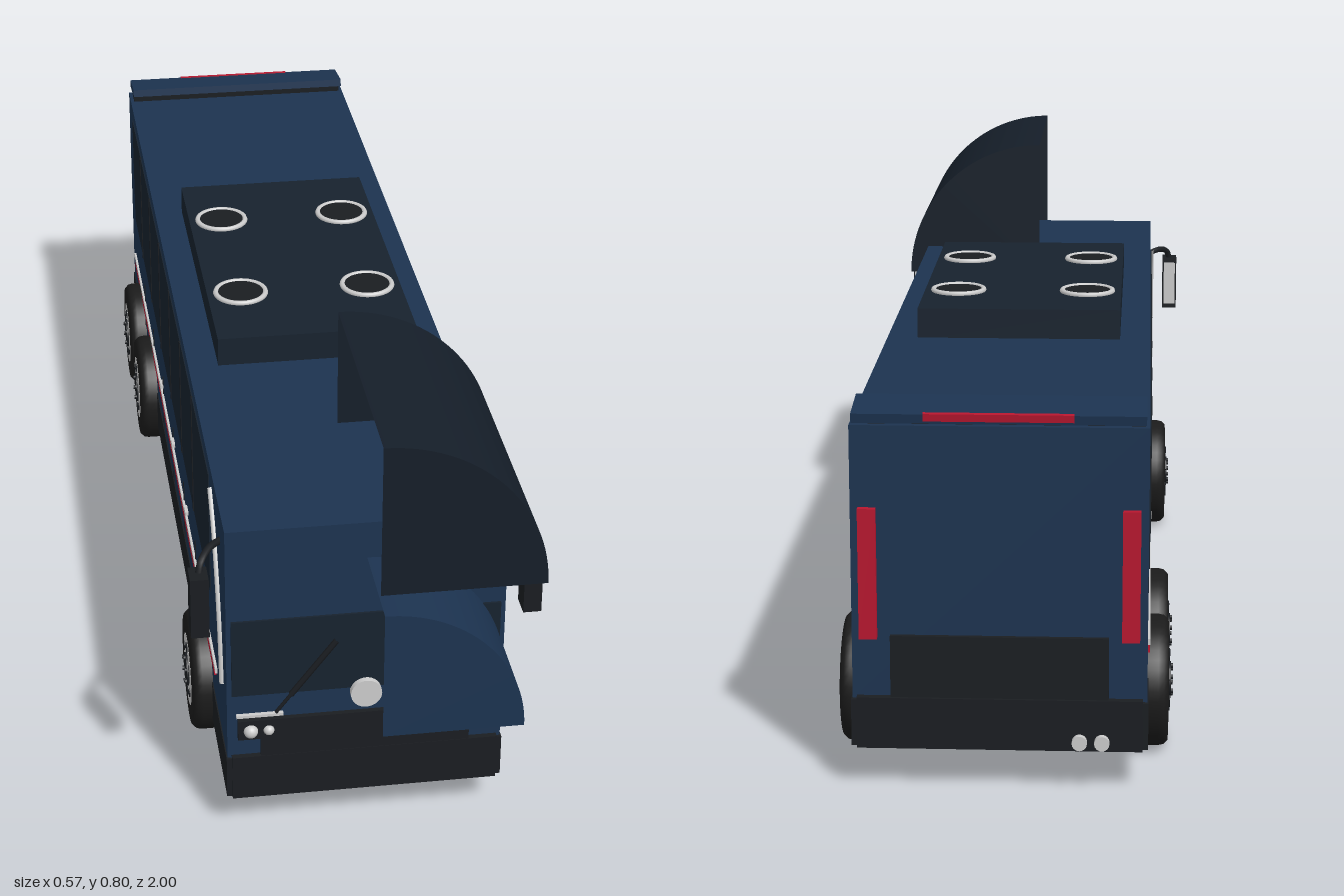
import * as THREE from 'three';

const mat = (color, side = THREE.FrontSide) => new THREE.MeshStandardMaterial({ color, side });

export function createModel() {
  const bus = new THREE.Group();
  bus.name = 'bus';
  const M = {
    blue: mat(0x1c3350), glass: mat(0x17222e), black: mat(0x1a1d21), red: mat(0xb8162f),
    light: mat(0xcccccc), tire: mat(0x1b1b1b),
    shell: mat(0x151e29, THREE.DoubleSide), screen: mat(0x1c3350, THREE.DoubleSide),
  };

  const add = (name, geo, m, x = 0, y = 0, z = 0, parent = bus) => {
    const mesh = new THREE.Mesh(geo, m);
    mesh.name = name;
    mesh.position.set(x, y, z);
    parent.add(mesh);
    return mesh;
  };
  // Box given by its limits on each axis
  const box = (name, m, x0, x1, y0, y1, z0, z1) => add(name,
    new THREE.BoxGeometry(Math.abs(x1 - x0), y1 - y0, z1 - z0), m,
    (x0 + x1) / 2, (y0 + y1) / 2, (z0 + z1) / 2);
  // Cylinder lying along x or z
  const rod = (r, len, axis, seg = 24) => {
    const g = new THREE.CylinderGeometry(r, r, len, seg);
    return axis === 'x' ? g.rotateZ(-Math.PI / 2) : g.rotateX(Math.PI / 2);
  };
  const tube = (pts, r) => new THREE.TubeGeometry(
    new THREE.CatmullRomCurve3(pts.map(p => new THREE.Vector3(...p))), 20, r, 8);

  // Body and skirt
  box('body', M.blue, -0.23, 0.23, 0.145, 0.585, -0.977, 0.83);
  box('skirt', M.black, -0.223, 0.223, 0.067, 0.15, -0.99, 0.84);
  for (const s of [-1, 1]) box('skirtSide', M.black, s * 0.2, s * 0.232, 0.069, 0.145, -0.985, 0.835);

  // Quarter-round shells at the front corner, open below and towards the middle
  const quarter = (r, len) =>
    new THREE.CylinderGeometry(r, r, len, 32, 1, false, Math.PI / 2, Math.PI / 2).rotateX(Math.PI / 2);
  add('upperFrontShell', quarter(0.266, 0.45), M.shell, 0, 0.531, 0.735);
  add('lowerFrontShell', quarter(0.229, 0.4), M.screen, 0, 0.29, 0.8);

  // Roof unit with four fans
  box('roofUnit', M.glass, -0.177, 0.177, 0.58, 0.637, -0.36, 0.28);
  for (const x of [-0.116, 0.116]) for (const z of [-0.2, 0.108]) {
    add('fanDisc', new THREE.CylinderGeometry(0.043, 0.043, 0.006, 32), M.black, x, 0.638, z);
    add('fanRing', new THREE.TorusGeometry(0.045, 0.005, 8, 40).rotateX(Math.PI / 2), M.light, x, 0.639, z);
  }

  // Rear spoiler with brake light
  const spoiler = new THREE.Group();
  spoiler.name = 'rearSpoiler';
  spoiler.position.set(0, 0.605, -0.95);
  spoiler.rotation.x = -0.13;
  bus.add(spoiler);
  add('spoilerBlade', new THREE.BoxGeometry(0.45, 0.015, 0.085), M.blue, 0, 0, 0, spoiler);
  add('brakeLight', new THREE.BoxGeometry(0.23, 0.012, 0.008), M.red, 0, 0.003, -0.041, spoiler);
  box('spoilerBase', M.black, -0.223, 0.223, 0.583, 0.602, -0.965, -0.925);

  // Front face
  box('windshield', M.glass, -0.222, 0.222, 0.27, 0.415, 0.825, 0.834);
  box('grille', M.black, -0.175, 0.175, 0.145, 0.222, 0.825, 0.839);
  add('frontDisc', rod(0.026, 0.012, 'z', 32), M.light, 0, 0.262, 0.838);
  for (const x of [-0.15, 0.04]) {
    const a = new THREE.Vector3(x, 0.237, 0.84), b = new THREE.Vector3(x + 0.1, 0.37, 0.84);
    add('wiper', new THREE.TubeGeometry(new THREE.LineCurve3(a, b), 1, 0.003, 6), M.black);
    add('wiperBlade', new THREE.TubeGeometry(
      new THREE.LineCurve3(a.clone().lerp(b, 0.25), b), 1, 0.005, 6), M.black);
  }

  // Rear face
  box('engineCover', M.black, -0.17, 0.17, 0.15, 0.25, -0.985, -0.97);
  for (const x of [-0.125, -0.16])
    add('exhaustPipe', rod(0.012, 0.04, 'z', 16), M.light, x, 0.083, -0.98);

  // Wheel: tyre profile turned about the axle, outer side at +x
  const makeWheel = () => {
    const wheel = new THREE.Group();
    wheel.name = 'wheel';
    const profile = [[0.001, -0.032], [0.098, -0.032], [0.105, -0.026], [0.107, -0.015], [0.107, 0.015],
      [0.105, 0.024], [0.098, 0.031], [0.066, 0.032], [0.062, 0.027], [0.001, 0.027]];
    const tire = new THREE.LatheGeometry(profile.map(p => new THREE.Vector2(...p)), 40).rotateZ(-Math.PI / 2);
    add('tire', tire, M.tire, 0, 0, 0, wheel);
    add('rim', rod(0.064, 0.008, 'x', 32), M.light, 0.028, 0, 0, wheel);
    add('hub', rod(0.03, 0.009, 'x', 24), M.black, 0.031, 0, 0, wheel);
    for (let i = 0; i < 6; i++) {
      const a = i * Math.PI / 3, slot = add('rimSlot', new THREE.BoxGeometry(0.006, 0.01, 0.018), M.black,
        0.031, Math.cos(a) * 0.046, Math.sin(a) * 0.046, wheel);
      slot.rotation.x = a;
      add('wheelNut', rod(0.004, 0.008, 'x', 8), M.black,
        0.035, Math.cos(a) * 0.024, Math.sin(a) * 0.024, wheel);
    }
    return wheel;
  };

  // Parts found on both sides
  const dividers = [0.345, 0.14, -0.065, -0.27, -0.475, -0.68];
  for (const s of [-1, 1]) {
    const side = (name, m, out, y0, y1, z0, z1) => box(name, m, s * 0.22, s * out, y0, y1, z0, z1);

    // Windows, stripes and luggage doors
    side('sideWindow', M.glass, 0.232, 0.33, 0.562, -0.877, 0.61);
    for (const z of dividers) {
      side('windowDivider', M.black, 0.2335, 0.33, 0.562, z - 0.003, z + 0.003);
      side('luggageDoorGap', M.black, 0.2315, 0.145, 0.265, z - 0.002, z + 0.002);
    }
    side('whiteStripe', M.light, 0.234, 0.217, 0.227, -0.915, 0.69);
    side('redStripe', M.red, 0.2335, 0.2, 0.215, -0.9, 0.67);
    for (const z of [0.44, 0.205, -0.045, -0.28])
      side('doorHandle', M.light, 0.236, 0.24, 0.247, z - 0.013, z + 0.013);

    // Curved trim behind the front corner
    add('cornerTrim', tube([[s * 0.232, 0.265, 0.785], [s * 0.232, 0.36, 0.765],
      [s * 0.232, 0.45, 0.73], [s * 0.232, 0.52, 0.685], [s * 0.232, 0.557, 0.645]], 0.005), M.light);

    // Headlights
    box('headlightHousing', M.black, s * 0.155, s * 0.213, 0.187, 0.224, 0.82, 0.842);
    box('headlightTrim', M.light, s * 0.137, s * 0.215, 0.227, 0.232, 0.82, 0.837);
    add('headlight', new THREE.SphereGeometry(0.012, 20, 12), M.light, s * 0.192, 0.204, 0.842);
    add('foglight', new THREE.SphereGeometry(0.009, 20, 12), M.light, s * 0.162, 0.204, 0.842);

    // Mirrors
    add('mirrorArm', tube([[s * 0.225, 0.527, 0.755], [s * 0.25, 0.531, 0.785],
      [s * 0.266, 0.522, 0.81], [s * 0.272, 0.5, 0.82]], 0.006), M.black);
    box('mirror', M.black, s * 0.257, s * 0.287, 0.398, 0.508, 0.803, 0.843);
    box('mirrorGlass', M.light, s * 0.26, s * 0.284, 0.408, 0.498, 0.8, 0.804);

    // Tail light
    box('tailLight', M.red, s * 0.19, s * 0.218, 0.245, 0.455, -0.988, -0.97);

    // Wheels
    for (const z of [0.514, -0.52, -0.767]) {
      const wheel = makeWheel();
      wheel.position.set(s * 0.233, 0.107, z);
      if (s < 0) wheel.rotation.y = Math.PI;
      bus.add(wheel);
    }
  }
  return bus;
}
